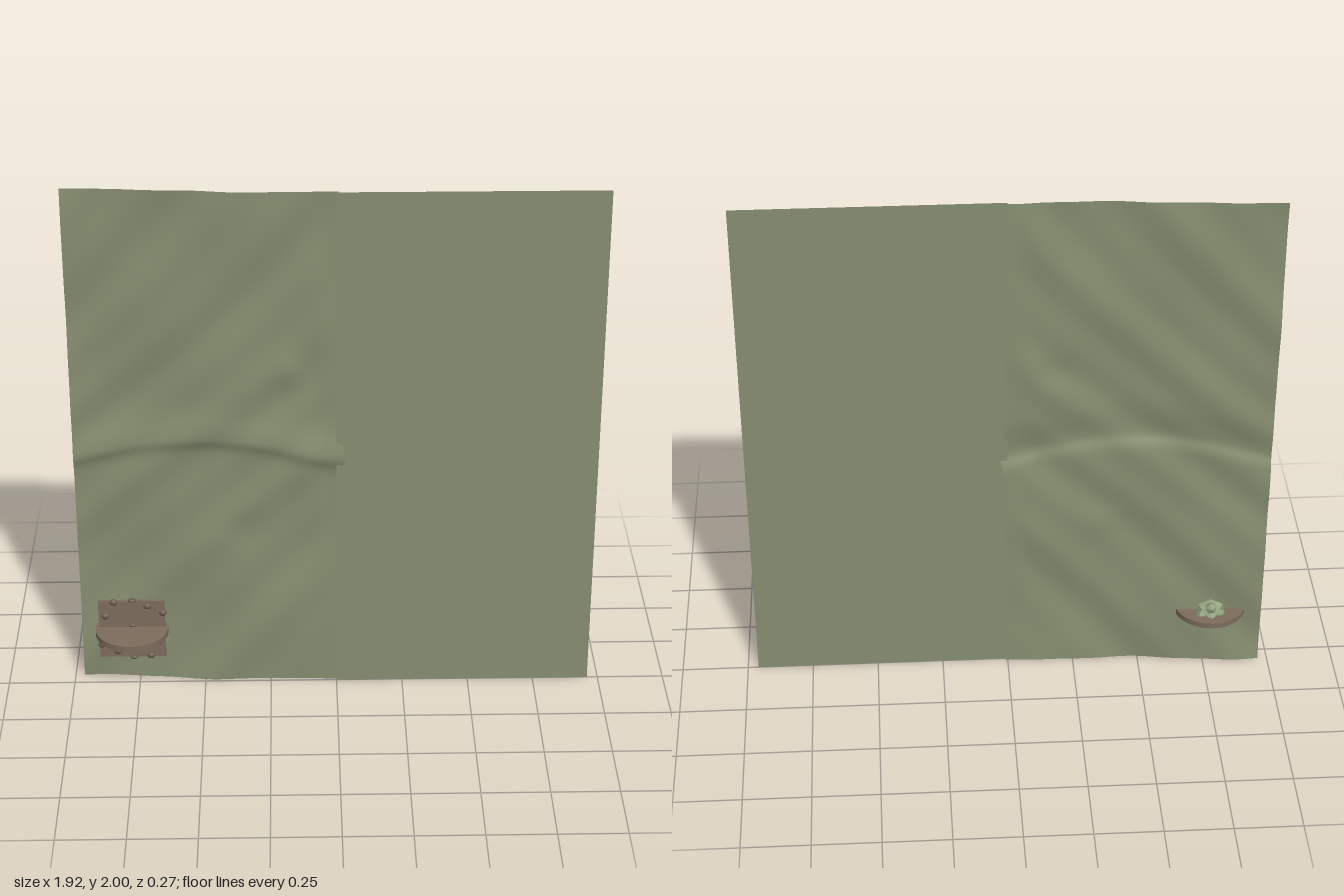
import * as THREE from 'three';

const flat = (name, color, extra = {}) => Object.assign(new THREE.MeshStandardMaterial({ color, ...extra }), { name });

export function createModel() {
  const model = new THREE.Group();
  const cloth = flat('moss green cloth', 0x868e70, { side: THREE.DoubleSide });
  const rust = flat('brown metal', 0x7d6c5c);
  const rivetMat = flat('dark brown rivet', 0x6c5b4e);
  const stone = flat('pale green stone', 0x8b9b78, { flatShading: true });

  const add = (name, geometry, material, x = 0, y = 0, z = 0) => {
    const mesh = new THREE.Mesh(geometry, material);
    mesh.name = name;
    mesh.position.set(x, y, z);
    model.add(mesh);
    return mesh;
  };
  const bump = (d, width) => Math.exp(-((d / width) ** 2));
  const smooth = THREE.MathUtils.smoothstep;

  // Smooth half of the sheet
  add('flatSheet', new THREE.PlaneGeometry(0.96, 2), cloth, 0.48, 1, 0);

  // Wrinkled half: a backward sweep, diagonal folds, one cross fold and a few dents
  const relief = (x, y) => {
    const sweep = -0.01 - 0.045 * smooth(-x, 0.3, 0.95);
    const folds = 0.005 * Math.sin(11 * (x - y) + 0.6) + 0.0025 * Math.sin(23 * (x - y) + 1.5 * Math.sin(3 * y))
      + 0.003 * Math.sin(8 * (x + y) + 1);
    const foldY = 0.945 + 0.09 * Math.sin(Math.PI * THREE.MathUtils.clamp(-x / 0.965, 0, 1));
    const d = y - foldY;
    const crossFold = 0.014 * bump(d, d > 0 ? 0.09 : 0.035);
    const dents = 0.008 * bump(Math.hypot(x + 0.17, y - 1.3), 0.06)
      - 0.006 * bump(Math.hypot(x + 0.35, y - 0.66), 0.07);
    const seam = 0.004 * Math.sin(6.5 * y) * bump(x, 0.06);
    return sweep + (folds + dents) * smooth(-x, -0.03, 0.12) + crossFold + seam;
  };
  const wrinkled = new THREE.PlaneGeometry(0.965, 2, 90, 180);
  wrinkled.translate(-0.4825, 1, 0);
  const p = wrinkled.attributes.position;
  for (let i = 0; i < p.count; i++) {
    const x = p.getX(i), y = p.getY(i);
    p.setX(i, x + smooth(x, -0.06, 0) * (0.008 + 0.024 * bump(y - 0.96, 0.07)));
    p.setZ(i, relief(x, y));
  }
  wrinkled.computeVertexNormals();
  add('wrinkledSheet', wrinkled, cloth);

  // Mounting plate and round shelf
  add('mountingPlate', new THREE.BoxGeometry(0.25, 0.245, 0.012), rust, -0.773, 0.233, -0.012);
  add('roundShelf', new THREE.CylinderGeometry(0.137, 0.137, 0.022, 48), rust, -0.773, 0.232, 0);

  // Rivets around the plate
  const rivets = [[-0.84, 0.35], [-0.77, 0.358], [-0.713, 0.333], [-0.655, 0.303], [-0.872, 0.29], [-0.77, 0.25],
    [-0.889, 0.165], [-0.83, 0.135], [-0.674, 0.176], [-0.705, 0.115], [-0.77, 0.108]];
  const rivetShape = new THREE.SphereGeometry(0.015, 14, 10);
  rivets.forEach(([x, y], i) => {
    const edge = i === 1 || i === 5 || i === 10;
    add('rivet', rivetShape, rivetMat, x, y, -0.008).scale.set(1, edge ? 0.5 : 0.85, 0.75);
  });

  // Faceted stones on the back
  const mound = add('stoneMound', new THREE.ConeGeometry(0.06, 0.065, 7), stone, -0.77, 0.233, -0.083);
  mound.rotation.x = -Math.PI / 2;
  [[-0.802, 0.238], [-0.738, 0.238], [-0.77, 0.268], [-0.772, 0.2]].forEach(([x, y], i) => {
    const nugget = add('stoneNugget', new THREE.IcosahedronGeometry(0.024, 0), stone, x, y, -0.072);
    nugget.rotation.set(i, i * 0.7, 0.4);
  });
  return model;
}
